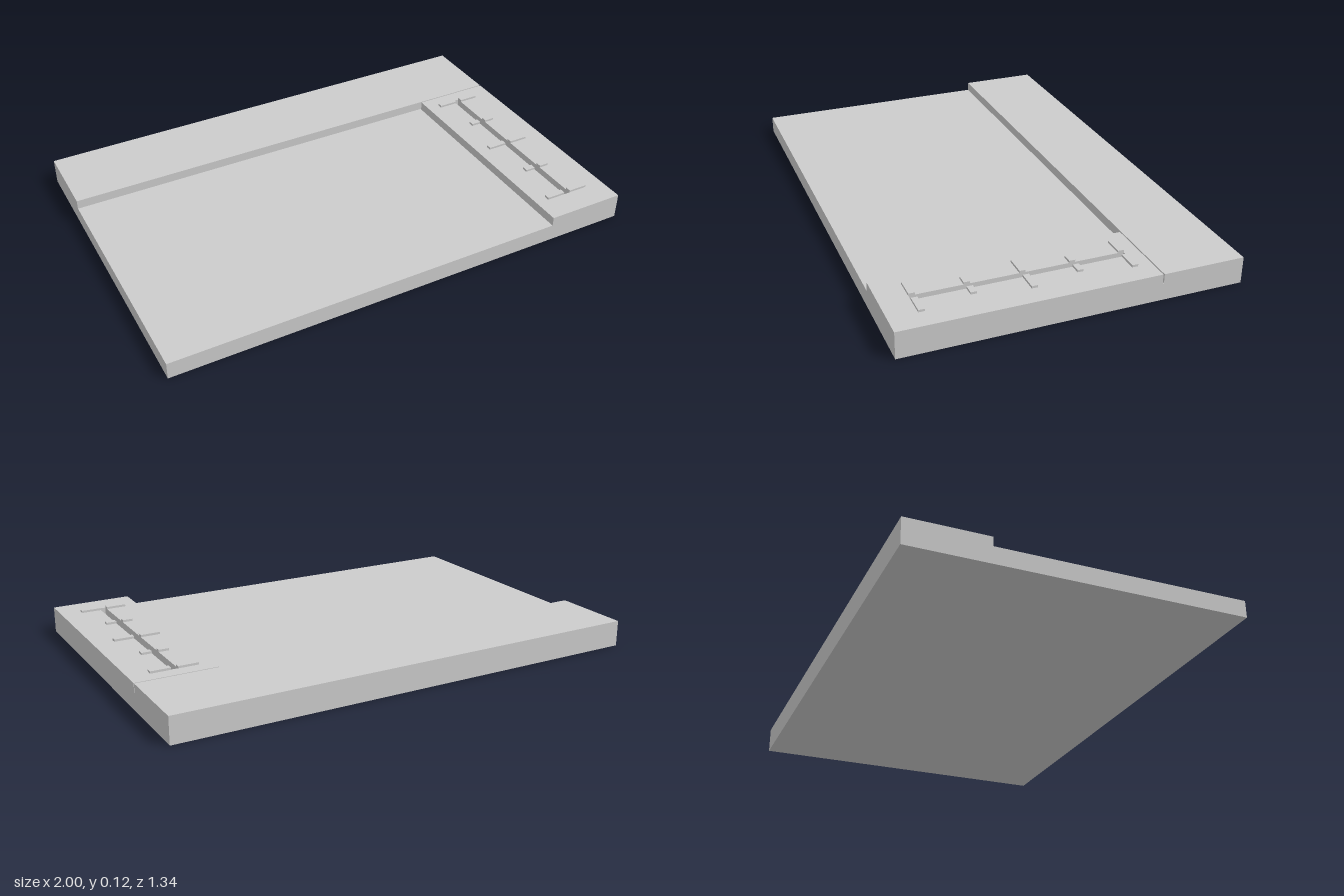
import * as THREE from 'three';

const material = new THREE.MeshStandardMaterial({ color: 0xcccccc, flatShading: true });

// Box given by its limits on each axis
function block(name, [x0, x1], [y0, y1], [z0, z1]) {
  const mesh = new THREE.Mesh(new THREE.BoxGeometry(x1 - x0, y1 - y0, z1 - z0), material);
  mesh.position.set((x0 + x1) / 2, (y0 + y1) / 2, (z0 + z1) / 2);
  mesh.name = name;
  return mesh;
}

export function createModel() {
  const group = new THREE.Group();
  group.name = 'slidePanel';

  const deck = 0.07, top = 0.108, markTop = 0.117;
  const slot = { x0: 0.806, x1: 0.834, z0: -0.277, z1: 0.561 };

  // Base plate and raised strip along the back
  group.add(block('basePlate', [-1, 1], [0, deck], [-0.672, 0.672]));
  group.add(block('backStrip', [-1, 1], [deck, top], [-0.672, -0.341]));

  // Raised side panel with a slot cut through it (shape y becomes -z)
  const shape = new THREE.Shape([
    new THREE.Vector2(0.667, -0.672), new THREE.Vector2(1, -0.672),
    new THREE.Vector2(1, 0.336), new THREE.Vector2(0.667, 0.336),
  ]);
  shape.holes.push(new THREE.Path([
    new THREE.Vector2(slot.x0, -slot.z1), new THREE.Vector2(slot.x0, -slot.z0),
    new THREE.Vector2(slot.x1, -slot.z0), new THREE.Vector2(slot.x1, -slot.z1),
  ]));
  const panel = new THREE.Mesh(
    new THREE.ExtrudeGeometry(shape, { depth: top - deck, bevelEnabled: false }), material);
  panel.rotation.x = -Math.PI / 2;
  panel.position.y = deck;
  panel.name = 'sidePanel';
  group.add(panel);

  // Scale marks on both sides of the slot, alternately long and short
  const marks = new THREE.Group();
  marks.name = 'scaleMarks';
  [-0.267, -0.067, 0.13, 0.344, 0.549].forEach((z, i) => {
    const length = i % 2 ? 0.042 : 0.082;
    const zs = [z - 0.012, z + 0.012];
    marks.add(block('rightMark', [slot.x0 - length, slot.x0], [top, markTop], zs));
    marks.add(block('leftMark', [slot.x1, slot.x1 + length], [top, markTop], zs));
  });
  group.add(marks);

  return group;
}
